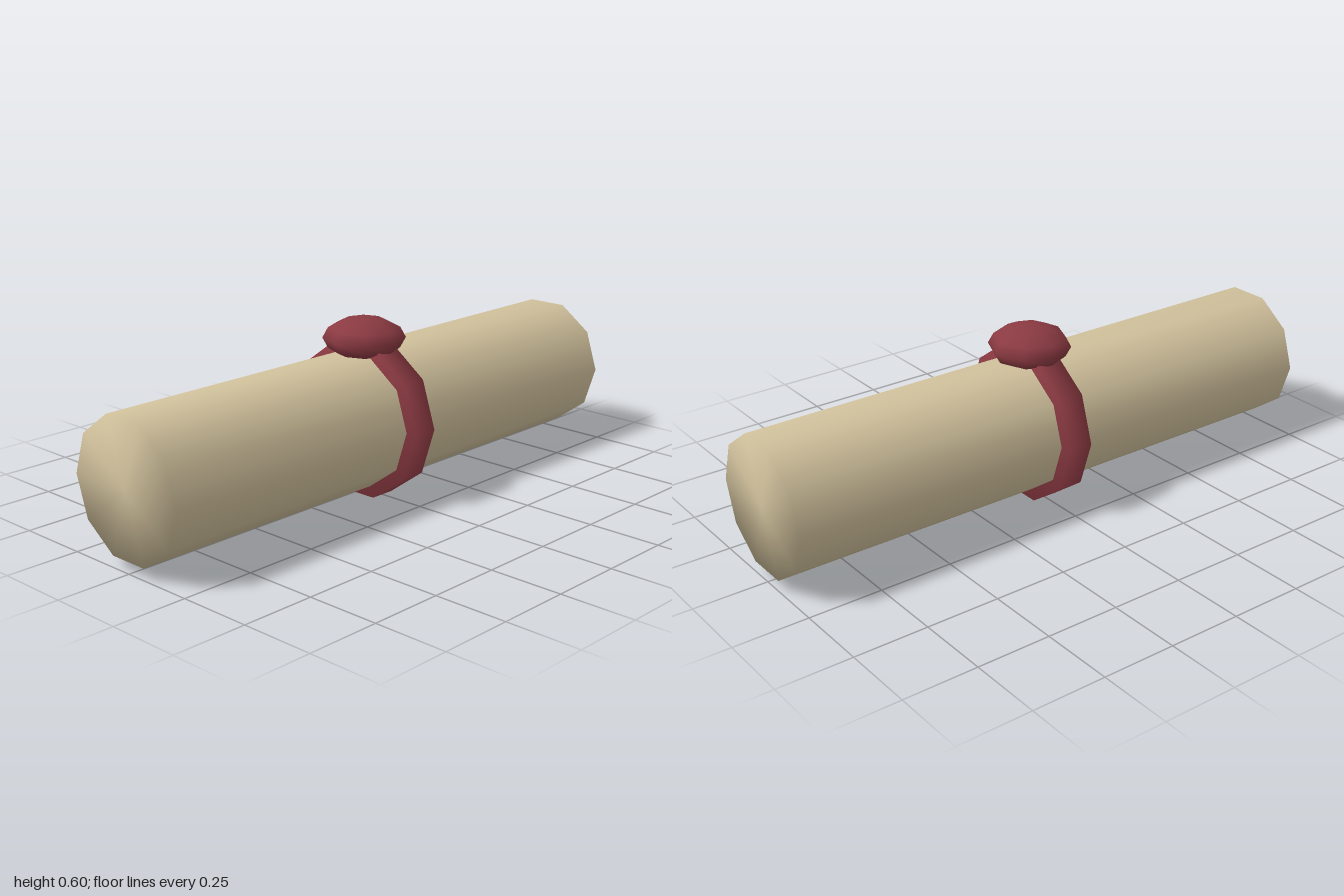
import * as THREE from 'three';
import { mergeVertices } from 'three/addons/utils/BufferGeometryUtils.js';

const AXIS_Y = 0.257;

// Weld all corners so the shading runs smoothly across every edge
function weld(geometry) {
  geometry.deleteAttribute('uv');
  geometry.deleteAttribute('normal');
  const welded = mergeVertices(geometry, 1e-4);
  welded.computeVertexNormals();
  return welded;
}

// Ten-sided drum lying along x
function drum(radius, length) {
  const geometry = new THREE.CylinderGeometry(radius, radius, length, 10);
  return weld(geometry.rotateZ(Math.PI / 2));
}

function addPart(group, name, geometry, color, y) {
  const mesh = new THREE.Mesh(geometry, new THREE.MeshStandardMaterial({ color }));
  mesh.name = name;
  mesh.position.y = y;
  group.add(mesh);
}

export function createModel() {
  const group = new THREE.Group();
  group.name = 'sealedScroll';

  // Rolled parchment
  addPart(group, 'parchmentRoll', drum(0.23, 2), 0xd2c29d, AXIS_Y);

  // Ribbon around the middle
  addPart(group, 'ribbonBand', drum(0.27, 0.09), 0x8b3a42, AXIS_Y);

  // Flattened wax seal on top
  const seal = weld(new THREE.SphereGeometry(0.137, 8, 6).scale(1, 0.5, 1));
  addPart(group, 'waxSeal', seal, 0x8b3a42, 0.527);

  return group;
}
